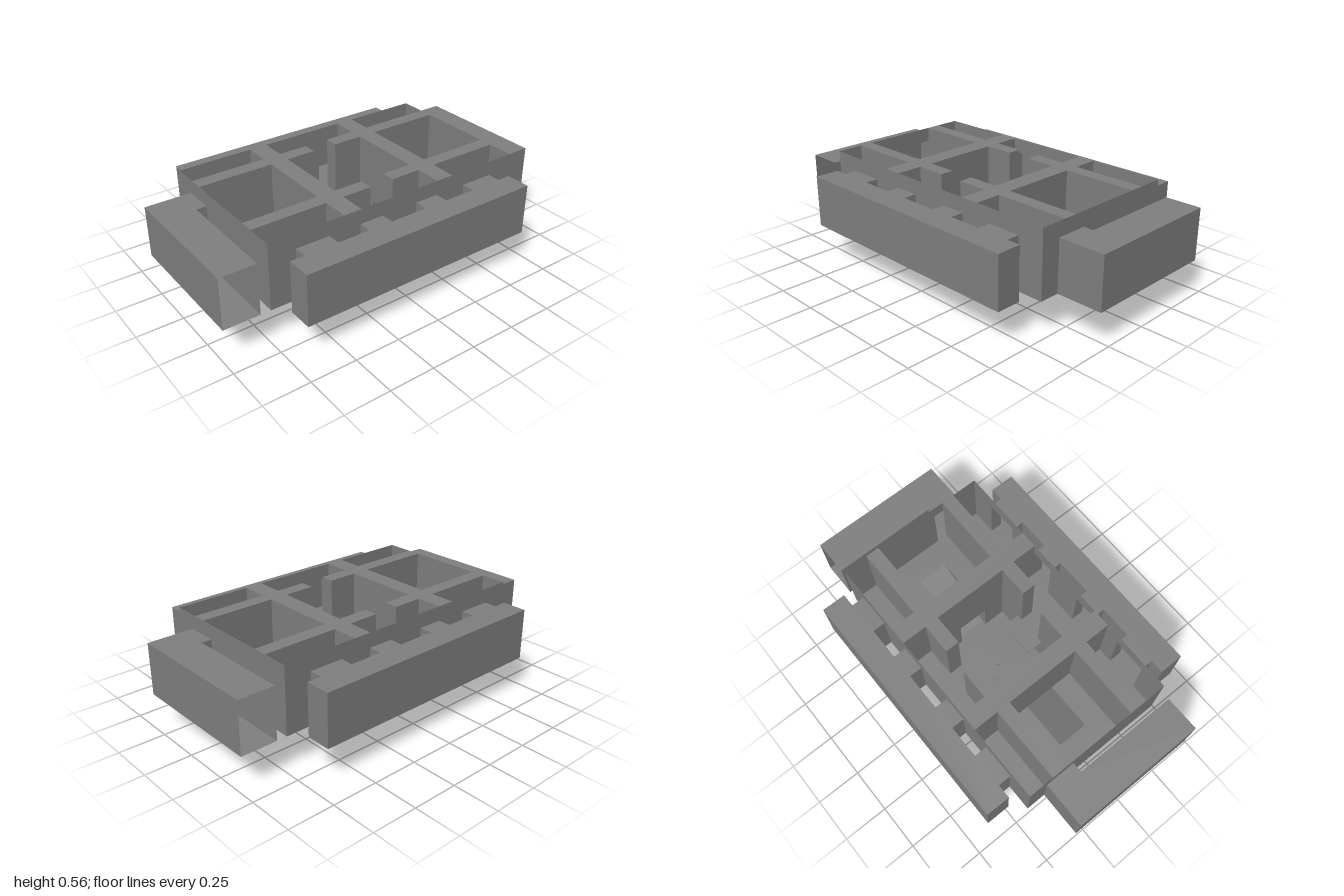
import * as THREE from 'three';

const FLOOR = 0.2, ROOF = 0.48, TOP = 0.56, W = 0.43, L = 0.75;
const grey = new THREE.MeshStandardMaterial({ color: 0x808080, side: THREE.DoubleSide });
grey.name = 'plain grey';

function add(parent, name, geometry) {
  const mesh = new THREE.Mesh(geometry, grey);
  mesh.name = name;
  parent.add(mesh);
  return mesh;
}

// Flat-shaded sheet between two point rows; skip(i) leaves an opening
function ribbon(a, b, skip = () => false) {
  const v = [];
  for (let i = 0; i < a.length - 1; i++) {
    if (skip(i)) continue;
    v.push(...a[i], ...a[i + 1], ...b[i + 1], ...a[i], ...b[i + 1], ...b[i]);
  }
  const g = new THREE.BufferGeometry();
  g.setAttribute('position', new THREE.Float32BufferAttribute(v, 3));
  g.computeVertexNormals();
  return g;
}

const toShape = pts => new THREE.Shape(pts.map(p => new THREE.Vector2(...p)));

// Horizontal sheet from a plan outline of [x, z]
const slab = (shape, y) => new THREE.ShapeGeometry(shape).rotateX(Math.PI / 2).translate(0, y, 0);

// Upright walls along a plan outline
function walls(pts, y0, y1, skip) {
  const loop = [...pts, pts[0]];
  return ribbon(loop.map(([x, z]) => [x, y0, z]), loop.map(([x, z]) => [x, y1, z]), i => skip(loop[i], loop[i + 1]));
}

// Hollow covered passage, open where it meets the hall
function passage(name, pts) {
  const g = new THREE.Group();
  g.name = name;
  const onHall = (p, q) => [[0, W], [1, L]].some(([k, d]) => p[k] === d && q[k] === d);
  add(g, 'passageWalls', walls(pts, FLOOR, ROOF, onHall));
  add(g, 'passageRoof', slab(toShape(pts), ROOF));
  add(g, 'passageFloor', slab(toShape(pts), FLOOR));
  return g;
}

// Hall wall sheet with door notches along its foot
function hallWall(half, doors) {
  const pts = [[-half, FLOOR]];
  for (const [a, b] of doors) pts.push([a, FLOOR], [a, ROOF], [b, ROOF], [b, FLOOR]);
  pts.push([half, FLOOR], [half, TOP], [-half, TOP]);
  return new THREE.ShapeGeometry(toShape(pts));
}

function block(parent, name, x0, x1, z0, z1) {
  add(parent, name, new THREE.BoxGeometry(x1 - x0, TOP - FLOOR, z1 - z0)
    .translate((x0 + x1) / 2, (FLOOR + TOP) / 2, (z0 + z1) / 2));
}

export function createModel() {
  const model = new THREE.Group();
  model.name = 'hallComplex';

  // Open-topped hall
  const sideDoors = [[-0.605, -0.42], [-0.24, -0.105], [0.105, 0.24], [0.42, 0.605]];
  for (const s of [-1, 1]) {
    const side = add(model, 'sideWall', hallWall(L, sideDoors).rotateY(Math.PI / 2));
    side.position.x = s * W;
    const end = add(model, 'endWall', hallWall(W, [[-0.32, -0.15]]));
    end.rotation.y = s > 0 ? 0 : Math.PI;
    end.position.z = s * L;
  }

  // Hall floor, cut out over the pit and its two ramps
  const px = 0.21, pz = 0.24, rx = 0.086, rz = 0.605;
  const floor = toShape([[-W, -L], [W, -L], [W, L], [-W, L]]);
  floor.holes.push(toShape([
    [-px, -pz], [-rx, -pz], [-rx, -rz], [rx, -rz], [rx, -pz], [px, -pz],
    [px, pz], [rx, pz], [rx, rz], [-rx, rz], [-rx, pz], [-px, pz]]));
  add(model, 'hallFloor', slab(floor, FLOOR));

  // Pit, open where the ramps enter
  const pit = [[-px, -pz], [-rx, -pz], [rx, -pz], [px, -pz], [px, pz], [rx, pz], [-rx, pz], [-px, pz]];
  add(model, 'pitWalls', walls(pit, 0, FLOOR, (p, q) => Math.abs(p[0]) === rx && Math.abs(q[0]) === rx));
  add(model, 'pitFloor', slab(toShape(pit), 0));
  add(model, 'drain', new THREE.CylinderGeometry(0.016, 0.016, 0.01, 8).translate(-0.01, 0.005, -0.01));

  // Ramps down into the pit
  for (const s of [-1, 1]) {
    const path = [[rz, FLOOR], [0.27, 0], [pz, 0]];
    const row = x => path.map(([z, y]) => [x, y, s * z]);
    add(model, 'ramp', ribbon(row(-rx), row(rx)));
    for (const x of [-rx, rx])
      add(model, 'rampSide', ribbon(row(x), path.map(([z]) => [x, FLOOR, s * z])));
  }

  for (const s of [-1, 1]) {
    // Thick inner walls
    block(model, 'crossWall', -W, W, s > 0 ? 0.235 : -0.34, s > 0 ? 0.335 : -0.24);
    for (const t of [-1, 1]) {
      const [x0, x1] = s > 0 ? [0.21, 0.285] : [-0.29, -0.213];
      const zs = (a, b) => t > 0 ? [a, b] : [-b, -a];
      block(model, 'longWall', x0, x1, ...zs(0.335, L));
      block(model, 'doorWall', x0, x1, ...zs(0.07, 0.24));
    }
    // Landing over the pit
    add(model, 'landing', new THREE.BoxGeometry(0.1, 0.008, 0.205).translate(s * 0.163, FLOOR - 0.004, 0));
  }

  // Side galleries with four links each
  const comb = [];
  for (const [a, b] of sideDoors) comb.push([0.5, a], [W, a], [W, b], [0.5, b]);
  comb.push([0.5, 0.68], [0.633, 0.68], [0.633, -0.68], [0.5, -0.68]);
  // End galleries, each reached by one offset link
  const hook = [[-0.32, L], [-0.32, 1], [W, 1], [W, 0.805], [-0.15, 0.805], [-0.15, L]];
  for (const turn of [0, Math.PI]) {
    for (const [name, pts] of [['sideGallery', comb], ['endGallery', hook]]) {
      const g = passage(name, pts);
      g.rotation.y = turn;
      model.add(g);
    }
  }
  return model;
}
